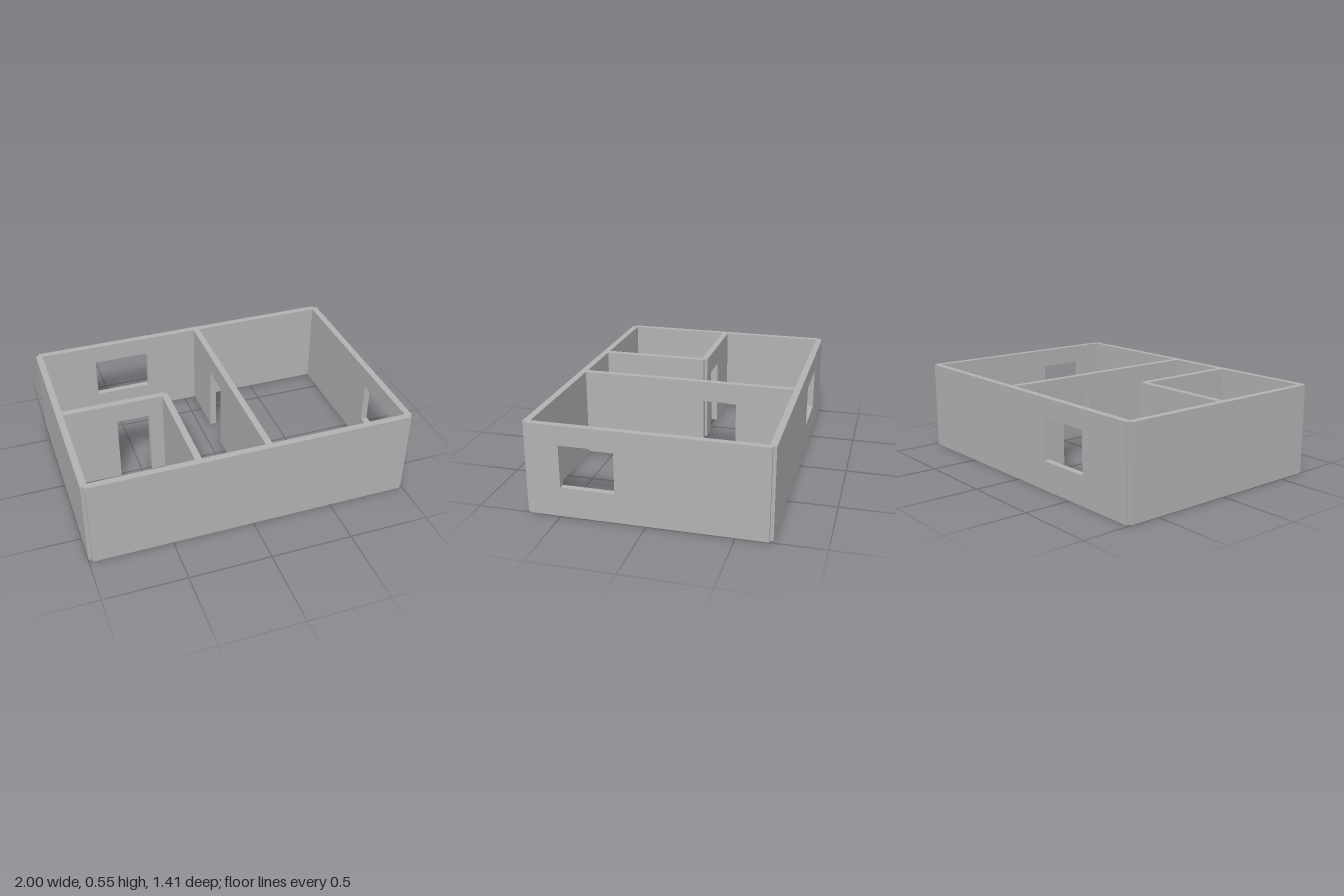
import * as THREE from 'three';

const HEIGHT = 0.55;
const THICK = 0.04;
const HALF_X = 0.98;   // outer wall centre lines
const HALF_Z = 0.685;

// Upright wall along a centre line from a to b ([x, z]).
// Openings are given as [start, end, bottom, top], measured along the wall.
function makeWall(name, material, a, b, openings = []) {
  const length = Math.hypot(b[0] - a[0], b[1] - a[1]);
  const shape = new THREE.Shape();
  shape.moveTo(0, 0);
  // Doors reach the floor, so they notch the outline
  for (const [s, e, bottom, top] of openings) {
    if (bottom > 0) continue;
    shape.lineTo(s, 0);
    shape.lineTo(s, top);
    shape.lineTo(e, top);
    shape.lineTo(e, 0);
  }
  shape.lineTo(length, 0);
  shape.lineTo(length, HEIGHT);
  shape.lineTo(0, HEIGHT);
  shape.closePath();
  // Windows are holes
  for (const [s, e, bottom, top] of openings) {
    if (bottom <= 0) continue;
    const hole = new THREE.Path();
    hole.moveTo(s, bottom);
    hole.lineTo(s, top);
    hole.lineTo(e, top);
    hole.lineTo(e, bottom);
    hole.closePath();
    shape.holes.push(hole);
  }
  const geometry = new THREE.ExtrudeGeometry(shape, { depth: THICK, bevelEnabled: false });
  geometry.translate(0, 0, -THICK / 2);
  const wall = new THREE.Mesh(geometry, material);
  wall.name = name;
  wall.position.set(a[0], 0, a[1]);
  wall.rotation.y = -Math.atan2(b[1] - a[1], b[0] - a[0]);
  return wall;
}

export function createModel() {
  const model = new THREE.Group();
  model.name = 'floorPlan';
  const plaster = new THREE.MeshStandardMaterial({ color: 0xb2b2b2 });
  plaster.name = 'grey plaster';

  const sill = 0.177, windowTop = 0.433, doorTop = 0.425;
  const midX = 0.095, roomX = -0.327, roomZ = -0.003;

  const walls = [
    // Outer walls
    ['frontWall', [-HALF_X, HALF_Z], [HALF_X, HALF_Z]],
    ['backWall', [-HALF_X, -HALF_Z], [HALF_X, -HALF_Z],
      [[HALF_X - 0.617, HALF_X - 0.26, sill, windowTop]]],
    ['leftWall', [HALF_X, -HALF_Z], [HALF_X, HALF_Z],
      [[HALF_Z + 0.178, HALF_Z + 0.495, sill, windowTop]]],
    ['rightWall', [-HALF_X, -HALF_Z], [-HALF_X, HALF_Z]],
    // Dividing wall with door
    ['dividingWall', [midX, -HALF_Z], [midX, HALF_Z],
      [[HALF_Z - 0.312, HALF_Z - 0.107, 0, doorTop]]],
    // Small corner room with door
    ['smallRoomBackWall', [-HALF_X, roomZ], [roomX, roomZ],
      [[HALF_X - 0.637, HALF_X - 0.435, 0, doorTop]]],
    ['smallRoomSideWall', [roomX, roomZ], [roomX, HALF_Z]],
  ];
  for (const [name, a, b, openings] of walls) {
    model.add(makeWall(name, plaster, a, b, openings));
  }
  return model;
}
